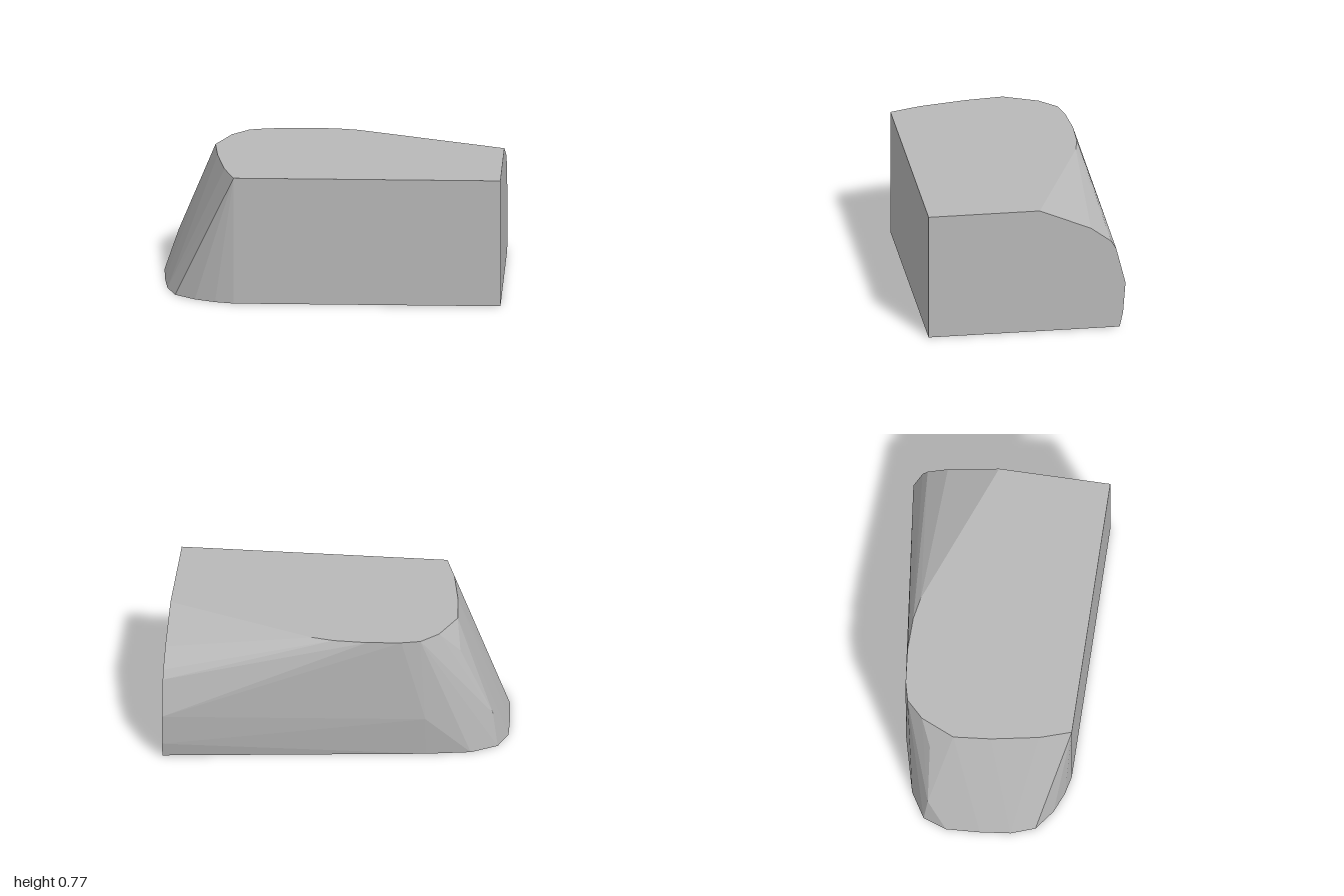
import * as THREE from 'three';
import { ConvexGeometry } from 'three/addons/geometries/ConvexGeometry.js';

// Faceted convex block: flat front, base, top and +x end; rounded, sloping -x end and back.
export function createModel() {
  const group = new THREE.Group();
  const grey = new THREE.MeshStandardMaterial({ color: 0xb8b8b8 });
  grey.name = 'stone grey';
  const H = 0.77;
  const points = [];

  // Base outline (x, z)
  const base = [
    [1, 0.585], [-0.57, 0.585], [-0.68, 0.56], [-0.8, 0.51], [-0.92, 0.42], [-0.97, 0.28],
    [-0.99, 0.1], [-1, -0.1], [-0.95, -0.24], [-0.8, -0.33], [-0.54, -0.375], [1, -0.55],
  ];
  // Top outline (x, z)
  const top = [
    [1, 0.585], [-0.57, 0.585], [-0.63, 0.4], [-0.68, 0.12], [-0.7, -0.1], [-0.61, -0.3],
    [-0.51, -0.4], [-0.4, -0.427], [-0.2, -0.445], [0, -0.44], [0.13, -0.415], [1, -0.075],
  ];
  // Rounded back edge of the +x end (y, z)
  const end = [[0.64, -0.38], [0.55, -0.5], [0.5, -0.53], [0.28, -0.585], [0.09, -0.57]];
  // Ridge points on the sloping back corner (x, y, z)
  const ridge = [[-0.92, 0.21, -0.22], [-0.73, 0.63, -0.235], [-0.54, 0.25, -0.405]];

  base.forEach(([x, z]) => points.push(new THREE.Vector3(x, 0, z)));
  top.forEach(([x, z]) => points.push(new THREE.Vector3(x, H, z)));
  end.forEach(([y, z]) => points.push(new THREE.Vector3(1, y, z)));
  ridge.forEach((p) => points.push(new THREE.Vector3(...p)));

  const block = new THREE.Mesh(new ConvexGeometry(points), grey);
  block.name = 'facetedBlock';
  group.add(block);
  return group;
}
